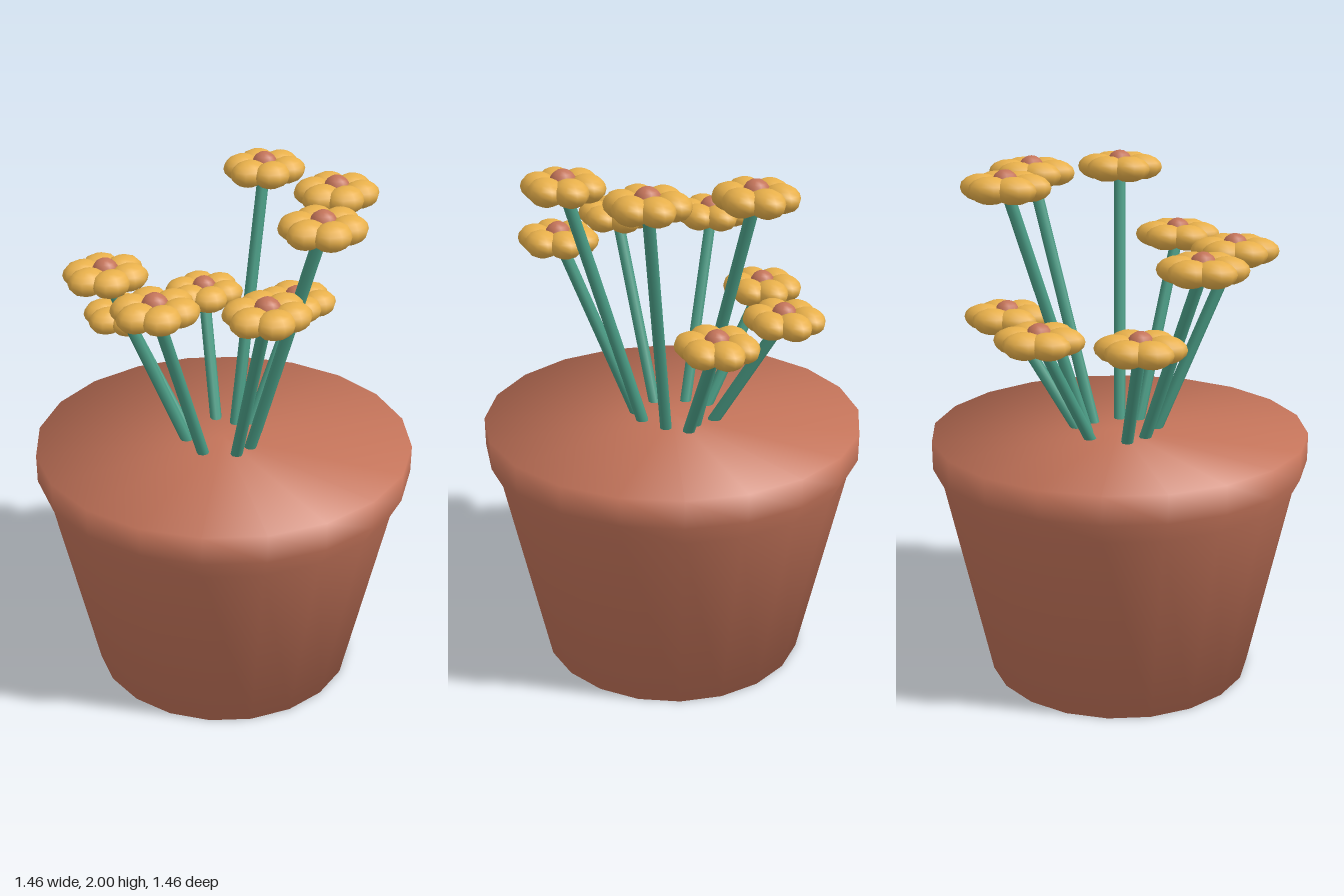
import * as THREE from 'three';

const terracotta = new THREE.MeshStandardMaterial({ color: 0xc4745a });
const yellow = new THREE.MeshStandardMaterial({ color: 0xe8b04b });
const green = new THREE.MeshStandardMaterial({ color: 0x4a9c85 });

function mesh(name, geometry, material, parent) {
  const m = new THREE.Mesh(geometry, material);
  m.name = name;
  parent.add(m);
  return m;
}

// Closed 20-sided pot, shaded smoothly over its rims: radius, height, normal out, normal up
function potGeometry() {
  const profile = [
    [0, 0, 0, -1],
    [0.52, 0, 0.75, -0.66],
    [0.69, 0.79, 0.95, -0.31],
    [0.73, 0.87, 0.98, -0.2],
    [0.73, 0.98, 0.75, 0.66],
    [0, 0.98, 0, 1],
  ];
  const sides = 20;
  const g = new THREE.LatheGeometry(profile.map(([r, y]) => new THREE.Vector2(r, y)), sides);
  for (let i = 0; i < g.attributes.normal.count; i++) {
    const [, , out, up] = profile[i % profile.length];
    const a = Math.floor(i / profile.length) * Math.PI * 2 / sides;
    g.attributes.normal.setXYZ(i, Math.sin(a) * out, up, Math.cos(a) * out);
  }
  return g;
}

const petalGeometry = new THREE.SphereGeometry(1, 10, 8).scale(0.08, 0.05, 0.065);
const centreGeometry = new THREE.SphereGeometry(0.05, 10, 8);

// Stem leaning outwards with a six-petalled head
function flower(x, y, z) {
  const group = new THREE.Group();
  group.name = 'flower';
  const top = new THREE.Vector3(x, y, z);
  const base = new THREE.Vector3(x * 0.21, 0.85, z * 0.21);
  const along = top.clone().sub(base);
  const stem = mesh('stem', new THREE.CylinderGeometry(0.023, 0.023, along.length(), 8), green, group);
  stem.position.copy(base).add(top).multiplyScalar(0.5);
  stem.quaternion.setFromUnitVectors(new THREE.Vector3(0, 1, 0), along.normalize());

  const head = new THREE.Group();
  head.name = 'flowerHead';
  head.position.copy(top);
  group.add(head);
  for (let i = 0; i < 6; i++) {
    const a = i * Math.PI / 3;
    mesh('petal', petalGeometry, yellow, head).position.set(0.087 * Math.cos(a), 0, 0.087 * Math.sin(a));
  }
  mesh('flowerCentre', centreGeometry, terracotta, head).position.y = 0.016;
  return group;
}

export function createModel() {
  const model = new THREE.Group();
  model.name = 'flowerPot';
  mesh('pot', potGeometry(), terracotta, model);

  // Three heights of flowers around a ring
  const flowers = [
    [0.035, 1.934, 0.425], [0.36, 1.934, 0.23], [0.4, 1.934, -0.15],
    [-0.43, 1.675, 0.07], [-0.32, 1.675, -0.29], [-0.2, 1.675, 0.38],
    [-0.11, 1.416, -0.42], [0.26, 1.416, -0.34], [0.43, 1.416, 0],
  ];
  for (const p of flowers) model.add(flower(...p));
  return model;
}
